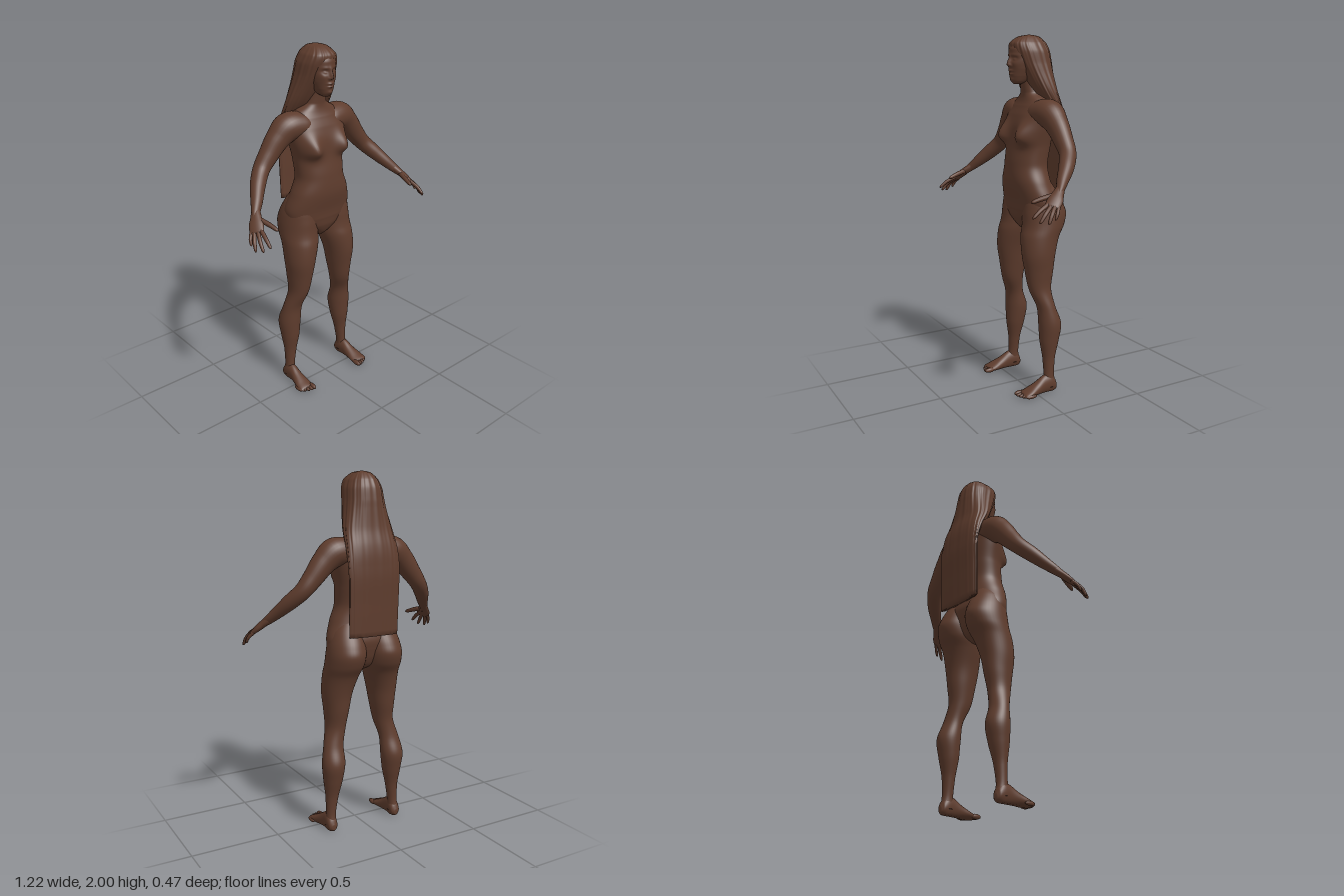
import * as THREE from 'three';

const skin = new THREE.MeshStandardMaterial({ color: 0x5e3c2d });
skin.name = 'brown clay';
const Y = new THREE.Vector3(0, 1, 0), Z = new THREE.Vector3(0, 0, 1);

// Smooth closed loft through sections [x, y, z, halfWidth, halfDepth].
// dir fixes the section plane (sections must advance along it); otherwise sections follow the path.
function loft(sections, { ref = Z, dir = null, steps = 6, sides = 28, power = 2, ribs = 0 } = {}) {
  const path = new THREE.CatmullRomCurve3(sections.map(s => new THREE.Vector3(s[0], s[1], s[2])));
  const size = new THREE.CatmullRomCurve3(sections.map(s => new THREE.Vector3(s[3], s[4], 0)));
  const rows = (sections.length - 1) * steps;
  const pos = [], index = [];
  const bend = v => Math.sign(v) * Math.abs(v) ** (2 / power);
  for (let i = 0; i <= rows; i++) {
    const t = i / rows, c = path.getPoint(t), r = size.getPoint(t);
    const T = dir ?? path.getTangent(t);
    const S = new THREE.Vector3().crossVectors(T, ref).normalize();
    const U = new THREE.Vector3().crossVectors(S, T).normalize();
    for (let j = 0; j < sides; j++) {
      const a = j / sides * Math.PI * 2;
      const wave = 1 + ribs * (Math.sin(a * 17) + 0.6 * Math.sin(a * 29 + 1));
      const p = c.clone().addScaledVector(S, bend(Math.cos(a)) * r.x * wave)
        .addScaledVector(U, bend(Math.sin(a)) * r.y * wave);
      pos.push(p.x, Math.max(p.y, 0), p.z);
    }
  }
  for (let i = 0; i < rows; i++) for (let j = 0; j < sides; j++) {
    const k = (j + 1) % sides, a = i * sides, b = a + sides;
    index.push(a + j, b + j, b + k, a + j, b + k, a + k);
  }
  // End caps
  const first = sections[0], last = sections[sections.length - 1], n = pos.length / 3;
  pos.push(...first.slice(0, 3), ...last.slice(0, 3));
  for (let j = 0; j < sides; j++) {
    const k = (j + 1) % sides, e = rows * sides;
    index.push(n, j, k, n + 1, e + k, e + j);
  }
  const g = new THREE.BufferGeometry();
  g.setAttribute('position', new THREE.Float32BufferAttribute(pos, 3));
  g.setIndex(index);
  g.computeVertexNormals();
  return g;
}

// Upright section list from [y, halfWidth, zFront, zBack]
const upright = list => list.map(([y, w, f, b]) => [0, y, (f + b) / 2, w, (f - b) / 2]);

// Pushes the front out by soft symmetric bumps [x, y, amount, width, reachUp, reachDown]
function sculpt(g, bumps) {
  const p = g.attributes.position, normal = g.attributes.normal;
  for (let i = 0; i < p.count; i++) {
    const facing = Math.max(0, normal.getZ(i));
    let push = 0;
    for (const [x, y, amount, width, up, down] of bumps) {
      const dx = (Math.abs(p.getX(i)) - x) / width, h = p.getY(i) - y;
      push += amount * Math.exp(-dx * dx - (h / (h > 0 ? up : down)) ** 2);
    }
    p.setZ(i, p.getZ(i) + push * Math.sqrt(facing));
  }
  g.computeVertexNormals();
  return g;
}

function mirrored(geometry) {
  const g = geometry.clone().scale(-1, 1, 1), ix = g.index;
  for (let i = 0; i < ix.count; i += 3) {
    const a = ix.getX(i);
    ix.setX(i, ix.getX(i + 2));
    ix.setX(i + 2, a);
  }
  g.computeVertexNormals();
  return g;
}

export function createModel() {
  const model = new THREE.Group();
  model.name = 'standingFigure';
  const add = (name, geometry) => {
    const m = new THREE.Mesh(geometry, skin);
    m.name = name;
    model.add(m);
  };
  const pair = (name, geometry) => {
    add('left' + name, geometry);
    add('right' + name, mirrored(geometry));
  };

  // Torso and neck, narrowing between the legs
  add('torso', sculpt(loft(upright([
    [0.925, 0.02, -0.03, -0.1], [0.95, 0.06, -0.005, -0.14], [1.0, 0.15, 0.02, -0.17],
    [1.05, 0.203, 0.03, -0.185], [1.1, 0.211, 0.036, -0.192], [1.2, 0.18, 0.055, -0.168],
    [1.3, 0.146, 0.052, -0.16], [1.4, 0.152, 0.037, -0.175], [1.5, 0.173, 0.028, -0.187],
    [1.57, 0.185, 0.008, -0.187], [1.62, 0.165, -0.014, -0.178], [1.655, 0.12, -0.028, -0.165],
    [1.69, 0.066, -0.032, -0.15], [1.75, 0.053, -0.025, -0.14], [1.82, 0.053, -0.02, -0.14],
  ]), { dir: Y, sides: 96, power: 2.2, steps: 8 }), [
    [0.108, 1.45, 0.057, 0.052, 0.075, 0.04],
  ]));

  // Legs, from the hips and seat down to the ankles
  pair('Leg', loft([
    [0.21, 0.03, -0.088, 0.031, 0.043], [0.207, 0.1, -0.088, 0.028, 0.031],
    [0.2, 0.2, -0.09, 0.037, 0.036], [0.195, 0.3, -0.095, 0.055, 0.055],
    [0.193, 0.4, -0.1, 0.066, 0.065], [0.183, 0.5, -0.08, 0.058, 0.052],
    [0.158, 0.6, -0.055, 0.058, 0.065], [0.15, 0.7, -0.053, 0.07, 0.083],
    [0.145, 0.8, -0.053, 0.085, 0.098], [0.13, 0.9, -0.07, 0.1, 0.112],
    [0.121, 0.96, -0.095, 0.107, 0.123], [0.116, 1.02, -0.106, 0.107, 0.129],
    [0.11, 1.08, -0.1, 0.103, 0.118], [0.1, 1.15, -0.085, 0.09, 0.096],
    [0.085, 1.22, -0.07, 0.06, 0.07],
  ], { dir: Y, sides: 40 }));

  // Feet and toes
  pair('Foot', loft([
    [0.21, 0.025, -0.134, 0.012, 0.015], [0.21, 0.035, -0.122, 0.027, 0.035],
    [0.21, 0.048, -0.09, 0.032, 0.058], [0.211, 0.046, -0.05, 0.031, 0.052],
    [0.214, 0.032, 0, 0.037, 0.037], [0.217, 0.02, 0.05, 0.046, 0.024],
    [0.218, 0.014, 0.085, 0.044, 0.014], [0.218, 0.01, 0.095, 0.036, 0.008],
  ], { ref: Y, dir: Z }));
  for (let i = 0; i < 5; i++) {
    const r = i ? 0.0115 : 0.0145, toe = new THREE.SphereGeometry(1, 16, 12);
    pair('Toe' + (i + 1), toe.scale(r, r, 0.034).translate(0.182 + i * 0.019, r, 0.091 - i * i * 0.0022));
  }

  // Arms, starting deep in the chest so the shoulders run on smoothly
  pair('Arm', loft([
    [0.04, 1.575, -0.088, 0.05, 0.07], [0.11, 1.58, -0.092, 0.074, 0.084],
    [0.18, 1.577, -0.097, 0.079, 0.08], [0.245, 1.527, -0.1, 0.067, 0.063],
    [0.31, 1.45, -0.1, 0.055, 0.052], [0.365, 1.385, -0.092, 0.046, 0.046],
    [0.42, 1.325, -0.05, 0.042, 0.042], [0.47, 1.265, 0.005, 0.033, 0.032],
    [0.508, 1.221, 0.046, 0.025, 0.021], [0.528, 1.196, 0.073, 0.02, 0.012],
  ]));

  // Hands: palm, four fingers and thumb
  const palmNormal = new THREE.Vector3(0.6, 0.78, 0.27).normalize();
  pair('Palm', loft([
    [0.494, 1.238, 0.03, 0.02, 0.018], [0.507, 1.222, 0.046, 0.025, 0.021],
    [0.523, 1.203, 0.068, 0.031, 0.02], [0.542, 1.178, 0.095, 0.04, 0.018],
    [0.558, 1.155, 0.122, 0.038, 0.013], [0.563, 1.148, 0.13, 0.03, 0.008],
  ], { ref: palmNormal, sides: 20 }));
  const digits = {
    Thumb: [[0.515, 1.2, 0.085], [0.497, 1.185, 0.145], [0.484, 1.167, 0.2]],
    IndexFinger: [[0.54, 1.165, 0.13], [0.552, 1.135, 0.19], [0.556, 1.102, 0.233]],
    MiddleFinger: [[0.552, 1.16, 0.12], [0.576, 1.122, 0.172], [0.583, 1.08, 0.208]],
    RingFinger: [[0.563, 1.157, 0.108], [0.593, 1.118, 0.146], [0.604, 1.075, 0.17]],
    LittleFinger: [[0.57, 1.155, 0.092], [0.595, 1.123, 0.115], [0.602, 1.093, 0.13]],
  };
  for (const [name, [a, b, c]] of Object.entries(digits)) {
    const r = name === 'Thumb' ? 0.013 : name === 'LittleFinger' ? 0.009 : 0.0105;
    const near = b.map((v, i) => v + (c[i] - v) * 0.8);
    pair(name, loft([[...a, r * 1.1, r * 1.1], [...b, r, r], [...near, r * 0.75, r * 0.75],
      [...c, r * 0.3, r * 0.3]], { ref: palmNormal, sides: 12, steps: 4 }));
  }

  // Head with sculpted face
  add('head', sculpt(loft(upright([
    [1.736, 0.018, 0.022, -0.02], [1.75, 0.037, 0.033, -0.05], [1.78, 0.054, 0.043, -0.1],
    [1.82, 0.068, 0.046, -0.13], [1.87, 0.076, 0.047, -0.15], [1.92, 0.075, 0.045, -0.15],
    [1.96, 0.055, 0.025, -0.13],
  ]), { dir: Y, sides: 120, steps: 10, power: 2.2 }), [
    [0, 1.868, 0.009, 0.009, 0.028, 0.02],       // nose bridge
    [0, 1.84, 0.019, 0.011, 0.022, 0.009],       // nose tip
    [0.012, 1.835, 0.007, 0.007, 0.008, 0.006],  // nostrils
    [0.031, 1.871, -0.012, 0.018, 0.012, 0.012], // eye sockets
    [0.031, 1.869, 0.009, 0.011, 0.006, 0.006],  // eyes
    [0.03, 1.89, 0.004, 0.024, 0.008, 0.008],    // brows
    [0, 1.807, 0.009, 0.02, 0.007, 0.004],       // upper lip
    [0, 1.792, 0.009, 0.018, 0.004, 0.007],      // lower lip
    [0, 1.76, 0.008, 0.02, 0.012, 0.012],        // chin
    [0.045, 1.84, 0.005, 0.02, 0.02, 0.02],      // cheeks
  ]));

  // Long hair, framing the face and falling down the back
  add('hair', loft(upright([
    [1.13, 0.15, -0.19, -0.228], [1.3, 0.153, -0.19, -0.234], [1.5, 0.156, -0.185, -0.238],
    [1.6, 0.154, -0.14, -0.23], [1.7, 0.143, -0.068, -0.207], [1.8, 0.12, -0.012, -0.196],
    [1.85, 0.11, 0.012, -0.192], [1.91, 0.102, 0.033, -0.183], [1.955, 0.084, 0.036, -0.165],
    [1.992, 0.045, -0.015, -0.125], [2.0, 0.012, -0.06, -0.09],
  ]), { dir: Y, sides: 160, power: 2.4, ribs: 0.012 }));

  return model;
}
